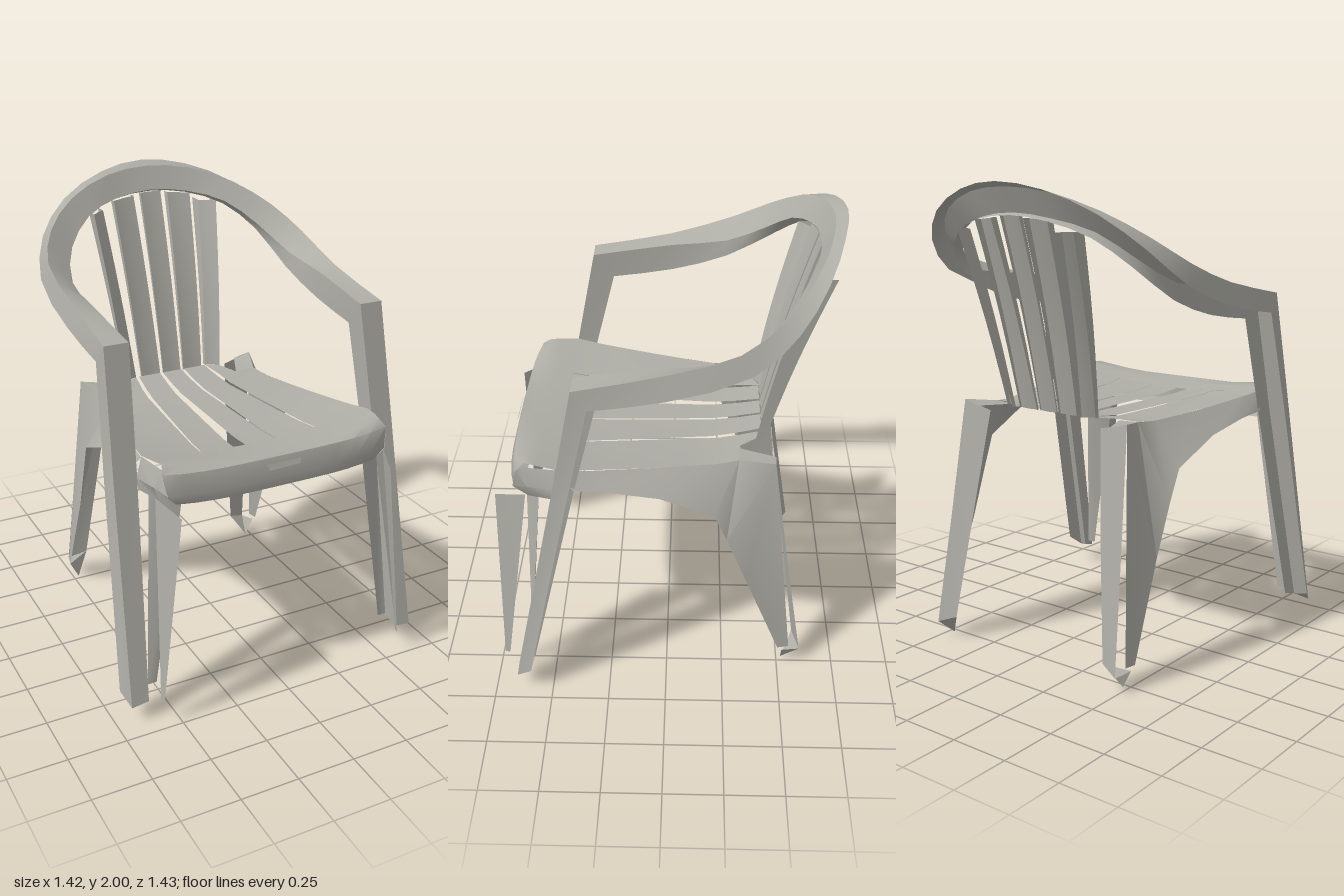
import * as THREE from 'three';
import { toCreasedNormals } from 'three/addons/utils/BufferGeometryUtils.js';

const plastic = new THREE.MeshStandardMaterial({ color: 0xaeada6, side: THREE.DoubleSide });
plastic.name = 'grey plastic';

// Thin moulded shell through rows of [x, y, z] points
function shell(name, rows, crease = 0.6) {
  const n = rows[0].length, index = [];
  for (let i = 0; i < rows.length - 1; i++) {
    for (let j = 0; j < n - 1; j++) {
      const a = i * n + j, b = a + n;
      index.push(a, b, a + 1, b, b + 1, a + 1);
    }
  }
  const geo = new THREE.BufferGeometry();
  geo.setAttribute('position', new THREE.Float32BufferAttribute(rows.flat(2), 3));
  geo.setIndex(index);
  const mesh = new THREE.Mesh(toCreasedNormals(geo, crease), plastic);
  mesh.name = name;
  return mesh;
}

const flip = (rows) => rows.map((r) => r.map(([x, y, z]) => [-x, y, z]).reverse());
const lerp = THREE.MathUtils.lerp;
const mix = (a, b, t) => a.map((v, i) => lerp(v, b[i], t));

// Dished seat height
function seatY(x, z) {
  const rise = THREE.MathUtils.clamp((z + 0.3) / 0.7, 0, 1);
  return 1.03 + 0.05 * rise * (x / 0.53) ** 2
    + 0.025 * THREE.MathUtils.smoothstep(z, 0.35, 0.62)
    + 0.03 * THREE.MathUtils.smoothstep(-z, 0.2, 0.42);
}

// Seat board between two lines, each given as [front x, rear x]
function board(name, left, right, zFront, zRear) {
  const rows = [];
  for (let i = 0; i <= 8; i++) {
    const t = i / 8, z = lerp(zFront, zRear, t), row = [];
    for (let j = 0; j <= 4; j++) {
      const x = lerp(lerp(...left, t), lerp(...right, t), j / 4);
      row.push([x, seatY(x, z), z]);
    }
    rows.push(row);
  }
  return shell(name, rows);
}

// Rows of a back slat with a slight bow and a rib of given depth behind each edge
function slat(bottomA, bottomB, topA, topB, depth) {
  const rows = [];
  for (let i = 0; i <= 6; i++) {
    const t = i / 6, bow = 0.012 * Math.sin(Math.PI * t), rib = depth * (0.3 + 0.7 * t);
    const a = mix(bottomA, topA, t), b = mix(bottomB, topB, t);
    a[2] += bow; b[2] += bow;
    const m = mix(a, b, 0.5);
    m[2] -= 0.006;
    rows.push([[a[0], a[1], a[2] - rib], a, m, b, [b[0], b[1], b[2] - rib]]);
  }
  return rows;
}

export function createModel() {
  const chair = new THREE.Group();
  chair.name = 'chair';
  const both = (name, rows, crease) =>
    chair.add(shell(name + 'Left', rows, crease), shell(name + 'Right', flip(rows), crease));

  // Arms and top rail: inner lip, inner edge, outer edge, outer lip
  const half = [
    [[0.535, 1.42, 0.27], [0.53, 1.53, 0.36], [0.635, 1.53, 0.36], [0.645, 1.45, 0.3]],
    [[0.535, 1.46, 0.0], [0.54, 1.58, 0.0], [0.625, 1.6, 0.0], [0.65, 1.5, 0.0]],
    [[0.52, 1.54, -0.25], [0.53, 1.61, -0.25], [0.62, 1.69, -0.28], [0.64, 1.61, -0.33]],
    [[0.47, 1.68, -0.46], [0.46, 1.71, -0.42], [0.545, 1.79, -0.44], [0.565, 1.75, -0.5]],
    [[0.35, 1.79, -0.56], [0.34, 1.81, -0.52], [0.4, 1.89, -0.56], [0.42, 1.88, -0.61]],
    [[0.18, 1.85, -0.62], [0.18, 1.86, -0.59], [0.2, 1.96, -0.635], [0.21, 1.97, -0.68]],
    [[0, 1.87, -0.63], [0, 1.88, -0.61], [0, 1.98, -0.66], [0, 2.0, -0.71]],
  ];
  const mirrored = half.slice(0, -1).reverse().map((r) => r.map(([x, y, z]) => [-x, y, z]));
  const stations = [...half, ...mirrored];
  const rails = [0, 1, 2, 3].map((k) =>
    new THREE.CatmullRomCurve3(stations.map((s) => new THREE.Vector3(...s[k]))));
  const hoop = [];
  for (let i = 0; i <= 24; i++) hoop.push(rails.map((c) => c.getPoint(i / 24).toArray()));
  chair.add(shell('armsAndTopRail', hoop));

  // Front legs: open channels with a bevelled foot
  both('frontLeg', [
    [[0.535, 1.42, 0.27], [0.53, 1.53, 0.36], [0.635, 1.53, 0.36], [0.645, 1.45, 0.3]],
    [[0.55, 1.0, 0.375], [0.555, 1.0, 0.465], [0.655, 1.0, 0.465], [0.67, 1.0, 0.4]],
    [[0.6, 0.1, 0.585], [0.61, 0.08, 0.655], [0.685, 0.07, 0.655], [0.71, 0.12, 0.59]],
  ]);
  both('frontFoot', [
    [[0.61, 0.08, 0.655], [0.685, 0.07, 0.655]],
    [[0.6, 0.1, 0.585], [0.71, 0.12, 0.59]],
  ]);

  // Inner flanks of the front legs
  both('frontLegFlank', [
    [[0.53, 0.96, 0.58], [0.48, 0.92, 0.715]],
    [[0.575, 0.1, 0.7], [0.57, 0.1, 0.722]],
  ]);
  both('frontLegGusset', [
    [[0.42, 0.94, 0.59], [0.53, 1.0, 0.52]],
    [[0.55, 0.12, 0.6], [0.59, 0.12, 0.6]],
  ]);

  // Back slats
  chair.add(shell('centreSlat', slat([-0.045, 1.055, -0.4], [0.045, 1.055, -0.4],
    [-0.05, 1.87, -0.61], [0.05, 1.87, -0.61], 0.02)));
  both('innerSlat', slat([0.06, 1.055, -0.4], [0.155, 1.055, -0.4],
    [0.085, 1.86, -0.61], [0.19, 1.85, -0.59], 0.035));
  both('outerSlat', slat([0.18, 1.055, -0.41], [0.24, 1.055, -0.375],
    [0.24, 1.81, -0.6], [0.305, 1.81, -0.545], 0.065));

  // Seat boards with one open slot and fine wedge-shaped gaps
  chair.add(board('centreSeatBoard', [-0.065, -0.048], [0.077, 0.048], 0.45, -0.4));
  chair.add(board('innerSeatBoardLeft', [0.08, 0.062], [0.268, 0.17], 0.45, -0.4));
  chair.add(board('innerSeatBoardRight', [-0.268, -0.17], [-0.12, -0.062], 0.45, -0.4));
  chair.add(board('outerSeatBoardLeft', [0.272, 0.2], [0.53, 0.385], 0.45, -0.3));
  chair.add(board('outerSeatBoardRight', [-0.53, -0.385], [-0.272, -0.2], 0.45, -0.3));
  both('outerSlatRoot', [
    [[0.2, seatY(0.2, -0.3), -0.3], [0.285, seatY(0.285, -0.3), -0.3]],
    [[0.18, 1.055, -0.41], [0.24, 1.055, -0.375]],
  ]);
  // Tongue joining the seat's rear corner to the back leg
  both('seatRearTongue', [
    [[0.29, 1.038, -0.3], [0.385, 1.042, -0.3]],
    [[0.36, 1.045, -0.455], [0.44, 1.065, -0.45]],
  ]);

  // Solid front part of the seat, rolling over into the apron
  const front = [];
  for (let j = 0; j <= 12; j++) {
    const s = j / 6 - 1, edge = s * s * s * s;
    const at = (w, z) => [s * w, seatY(s * w, z), z];
    front.push([
      at(0.53, 0.45), at(0.515, 0.53), at(0.5, 0.61 - 0.03 * edge),
      [s * 0.515, 1.06 + 0.01 * edge, 0.645 - 0.03 * edge],
      [s * 0.5, 0.98, 0.67 - 0.04 * edge],
      [s * 0.46, 0.935, 0.66 - 0.04 * edge],
      [s * 0.43, 0.92, 0.6],
    ]);
  }
  chair.add(shell('seatFrontAndApron', front, 0.8));
  both('apronCorner', [
    [[0.53, 1.085, 0.45], [0.5, 1.075, 0.58], [0.515, 1.07, 0.615]],
    [[0.555, 1.0, 0.46], [0.53, 1.0, 0.57], [0.5, 0.98, 0.635]],
    [[0.55, 0.95, 0.46], [0.51, 0.94, 0.57], [0.46, 0.935, 0.62]],
  ]);

  // Small raised grip on the apron
  chair.add(shell('apronGrip', [
    [[-0.08, 1.04, 0.66], [0.075, 1.04, 0.66]],
    [[-0.07, 1.015, 0.668], [0.07, 1.02, 0.668]],
  ]));

  // Side skirts flaring outward and narrowing into the back legs' outer faces
  both('sideSkirt', [
    [[0.53, 1.08, 0.45], [0.555, 1.0, 0.38]],
    [[0.502, 1.065, 0.3], [0.55, 0.99, 0.24]],
    [[0.447, 1.045, 0.02], [0.535, 0.95, 0.03]],
    [[0.404, 1.035, -0.2], [0.52, 0.85, -0.2]],
    [[0.385, 1.042, -0.3], [0.515, 0.72, -0.255]],
    [[0.44, 1.065, -0.45], [0.51, 0.5, -0.34]],
    [[0.51, 0.1, -0.55], [0.52, 0.1, -0.5]],
  ], 1);

  // Back legs: narrow rear face and small pointed foot
  both('backLegRear', [
    [[0.3, 1.03, -0.44], [0.44, 1.065, -0.45]],
    [[0.355, 0.55, -0.51], [0.468, 0.55, -0.525]],
    [[0.41, 0.1, -0.57], [0.495, 0.07, -0.6]],
  ]);
  both('backFoot', [
    [[0.41, 0.1, -0.57], [0.495, 0.07, -0.6]],
    [[0.475, 0.0, -0.52], [0.515, 0.08, -0.52]],
  ]);
  return chair;
}
